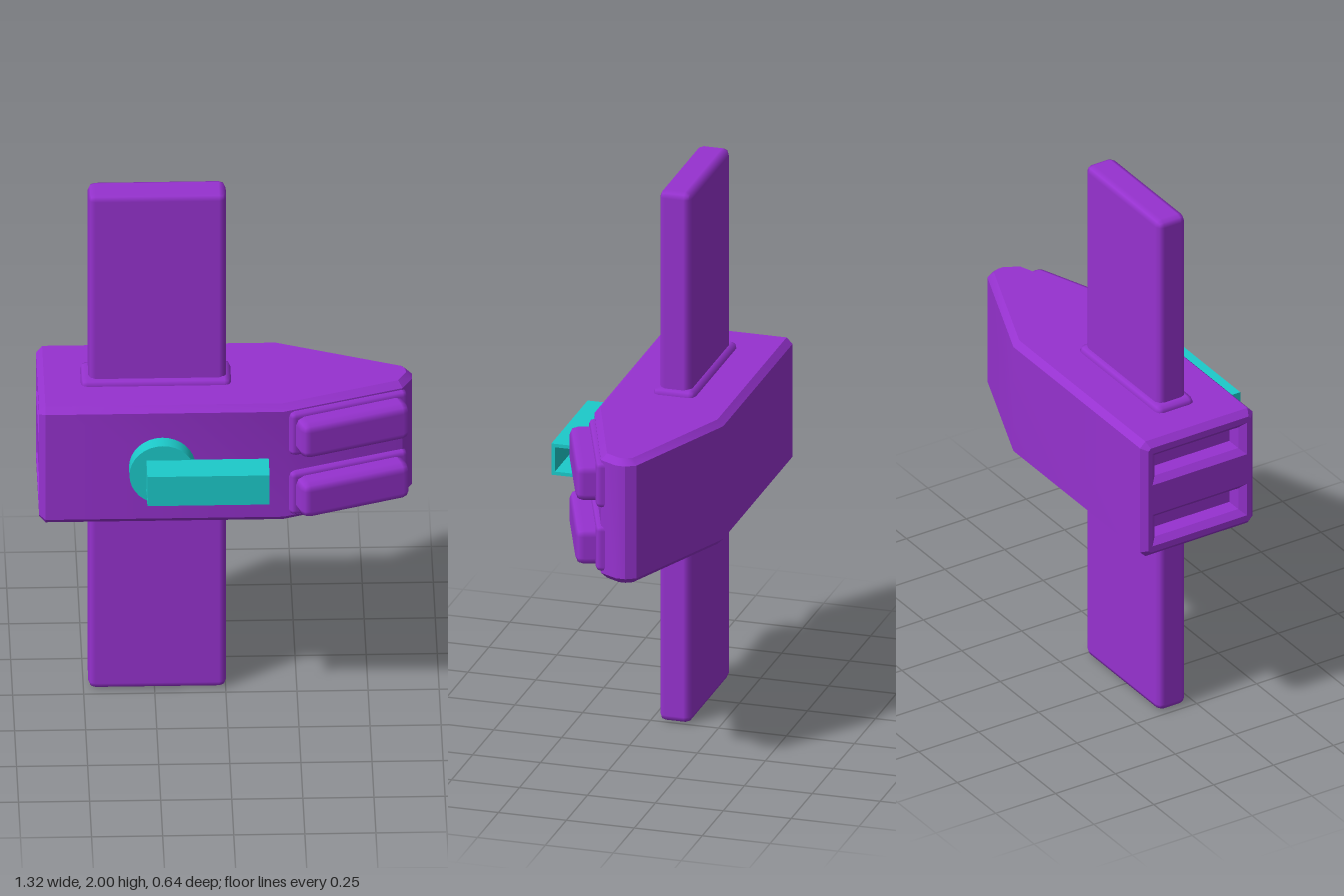
import * as THREE from 'three';
import { toCreasedNormals } from 'three/addons/utils/BufferGeometryUtils.js';
import { RoundedBoxGeometry } from 'three/addons/geometries/RoundedBoxGeometry.js';

const MID_Y = 1.005;   // height of the hull's centre line
const BEVEL = 0.022;

const purple = new THREE.MeshStandardMaterial({ color: 0x9632cf });
const cyan = new THREE.MeshStandardMaterial({ color: 0x1ccaca });

function shapeFrom(points) {
  return new THREE.Shape(points.map(([x, y]) => new THREE.Vector2(x, y)));
}

function rectangle(cx, cy, w, h, c = 0) {
  const x = w / 2, y = h / 2;
  const corners = c
    ? [[-x + c, -y], [x - c, -y], [x, -y + c], [x, y - c], [x - c, y], [-x + c, y], [-x, y - c], [-x, -y + c]]
    : [[-x, -y], [x, -y], [x, y], [-x, y]];
  return shapeFrom(corners.map(([a, b]) => [a + cx, b + cy]));
}

// Extrusion of total length `length` with a single chamfer inside the outline
function chamferedExtrude(shape, length, b) {
  const geo = new THREE.ExtrudeGeometry(shape, {
    depth: length - 2 * b, bevelEnabled: true, bevelSegments: 1,
    bevelSize: b, bevelThickness: b, bevelOffset: -b,
  });
  return geo.translate(0, 0, b);
}

function addMesh(parent, name, geometry, material, x = 0, y = 0, z = 0) {
  const mesh = new THREE.Mesh(geometry, material);
  mesh.name = name;
  mesh.position.set(x, y, z);
  parent.add(mesh);
  return mesh;
}

function createHull() {
  const hull = new THREE.Group();
  hull.name = 'hull';

  // Plan outline as [x, -z], tapering to the blunt nose
  const plan = shapeFrom([
    [-0.58, -0.145], [0.2, -0.145], [0.622, 0.01], [0.657, 0.075],
    [0.657, 0.11], [0.637, 0.145], [0.187, 0.325], [-0.58, 0.325],
  ]);
  const main = chamferedExtrude(plan, 0.47, BEVEL).rotateX(-Math.PI / 2);
  addMesh(hull, 'mainHull', toCreasedNormals(main, 0.5), purple, 0, MID_Y - 0.235, 0);

  // Tail block with two exhaust slots, recessed to the main hull
  const tail = rectangle(-0.09, MID_Y, 0.47, 0.47, BEVEL);
  for (const side of [-1, 1]) {
    tail.holes.push(rectangle(-0.09, MID_Y + side * 0.125, 0.35, 0.085));
  }
  const tailGeo = chamferedExtrude(tail, 0.13, BEVEL).rotateY(-Math.PI / 2);
  addMesh(hull, 'slottedTail', toCreasedNormals(tailGeo, 0.5), purple, -0.53, 0, 0);
  return hull;
}

function createWings() {
  const wings = new THREE.Group();
  wings.name = 'wings';
  addMesh(wings, 'wingBlade', new RoundedBoxGeometry(0.485, 2.004, 0.117, 1, 0.025), purple, -0.24, 1, -0.088);
  // Sloped collar where the blade leaves the hull, above and below
  addMesh(wings, 'wingCollar', new RoundedBoxGeometry(0.53, 0.515, 0.156, 1, 0.024), purple, -0.245, MID_Y, -0.088);
  return wings;
}

function createPods() {
  // Twin pods lying on the slanted cheek of the nose
  const pods = new THREE.Group();
  pods.name = 'nosePods';
  pods.position.set(0.424, 0, 0.052);
  pods.rotation.y = 0.36;
  for (const side of [-1, 1]) {
    const y = MID_Y + side * 0.12;
    addMesh(pods, 'pod', new RoundedBoxGeometry(0.41, 0.14, 0.2, 1, 0.03), purple, 0, y, 0);
    addMesh(pods, 'podCollar', new RoundedBoxGeometry(0.445, 0.175, 0.13, 1, 0.02), purple, 0, y, -0.035);
  }
  return pods;
}

function createCrank() {
  const crank = new THREE.Group();
  crank.name = 'crank';
  const disc = new THREE.CylinderGeometry(0.117, 0.117, 0.085, 32).rotateX(Math.PI / 2);
  addMesh(crank, 'pivotDisc', disc, cyan, -0.228, 1.003, 0.1625);

  // Square tube, open towards the nose
  const section = rectangle(0, 0, 0.118, 0.118);
  section.holes.push(rectangle(0, 0, 0.092, 0.092));
  const tube = new THREE.ExtrudeGeometry(section, { depth: 0.43, bevelEnabled: false }).rotateY(Math.PI / 2);
  addMesh(crank, 'barrel', tube, cyan, -0.285, 1.003, 0.261);
  addMesh(crank, 'barrelEnd', new THREE.BoxGeometry(0.015, 0.1, 0.1), cyan, -0.277, 1.003, 0.261);
  return crank;
}

export function createModel() {
  const model = new THREE.Group();
  model.name = 'wingedCraft';
  model.add(createHull(), createWings(), createPods(), createCrank());
  return model;
}
